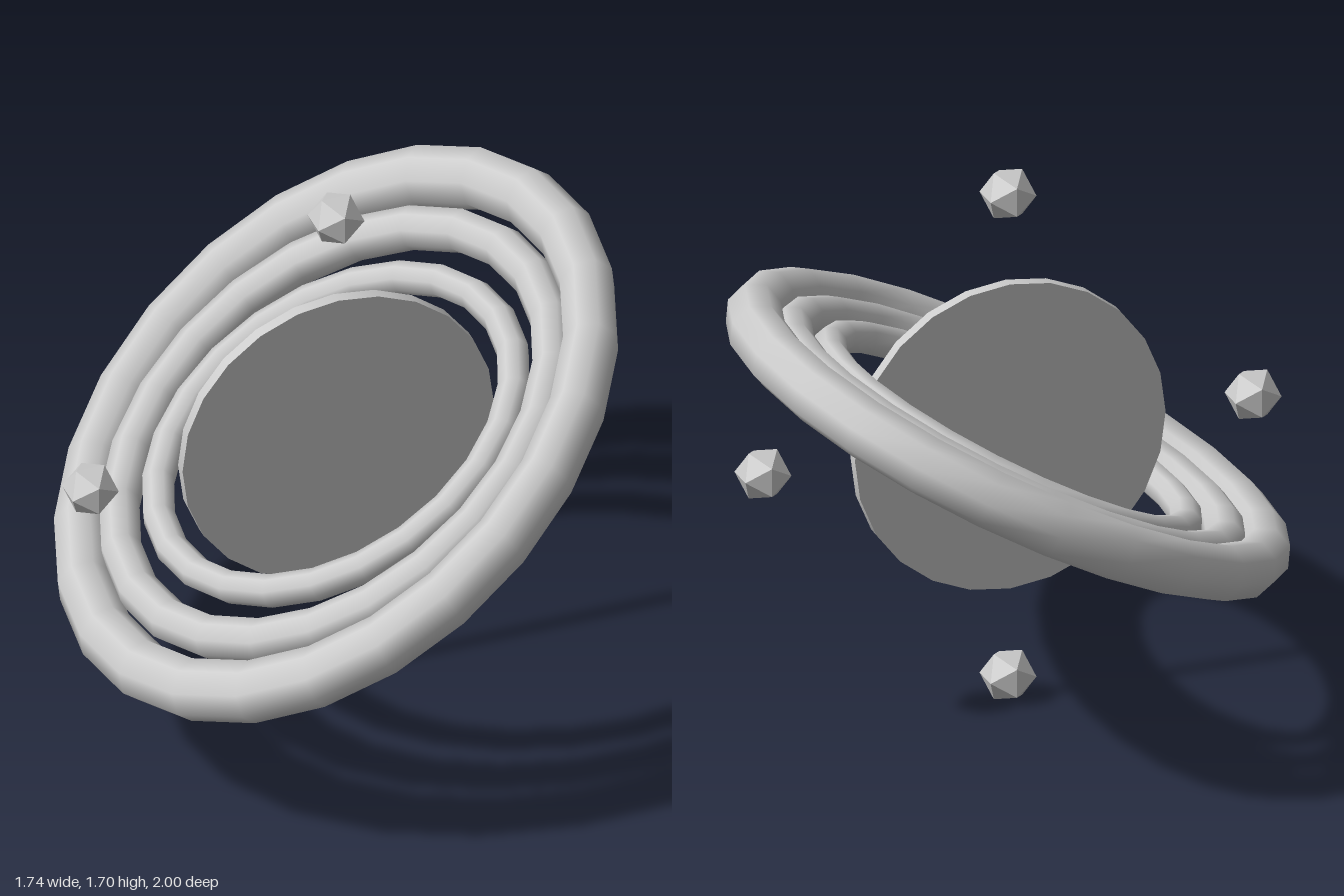
import * as THREE from 'three';

const CENTRE_Y = 0.8525;
const TILT = 0.5;

export function createModel() {
  const model = new THREE.Group();
  model.name = 'ringedDisc';
  const smooth = new THREE.MeshStandardMaterial({ color: 0xcccccc });
  const faceted = new THREE.MeshStandardMaterial({ color: 0xcccccc, flatShading: true });

  function add(name, geometry, material, parent = model) {
    const mesh = new THREE.Mesh(geometry, material);
    mesh.name = name;
    parent.add(mesh);
    return mesh;
  }

  // Upright central disc facing the front
  const disc = add('centralDisc', new THREE.CylinderGeometry(0.4925, 0.4925, 0.037, 24), smooth);
  disc.rotation.x = Math.PI / 2;
  disc.position.y = CENTRE_Y;

  // Three nested rings in one tilted plane, the larger ones skewed within it
  const rings = new THREE.Group();
  rings.name = 'tiltedRings';
  rings.position.y = CENTRE_Y;
  rings.rotation.z = TILT;
  model.add(rings);
  const ringSpecs = [
    ['innerRing', 0.59, 0.05, 0],
    ['middleRing', 0.745, 0.065, 0.09],
    ['outerRing', 0.905, 0.09, 0.16],
  ];
  for (const [name, radius, tube, skew] of ringSpecs) {
    const geometry = new THREE.TorusGeometry(radius, tube, 8, 24).rotateX(Math.PI / 2);
    geometry.applyMatrix4(new THREE.Matrix4().set(
      Math.sqrt(1 - skew * skew), 0, 0, 0,
      0, 1, 0, 0,
      -skew, 0, 1, 0,
      0, 0, 0, 1));
    add(name, geometry, smooth, rings);
  }

  // Four small faceted gems around the disc
  const gemSpecs = [['topGem', 0, 1], ['bottomGem', 0, -1], ['leftGem', 1, 0], ['rightGem', -1, 0]];
  for (const [name, x, y] of gemSpecs) {
    const gem = add(name, new THREE.IcosahedronGeometry(0.0855, 0), faceted);
    gem.position.set(x * 0.777, CENTRE_Y + y * 0.779, 0);
  }
  return model;
}
